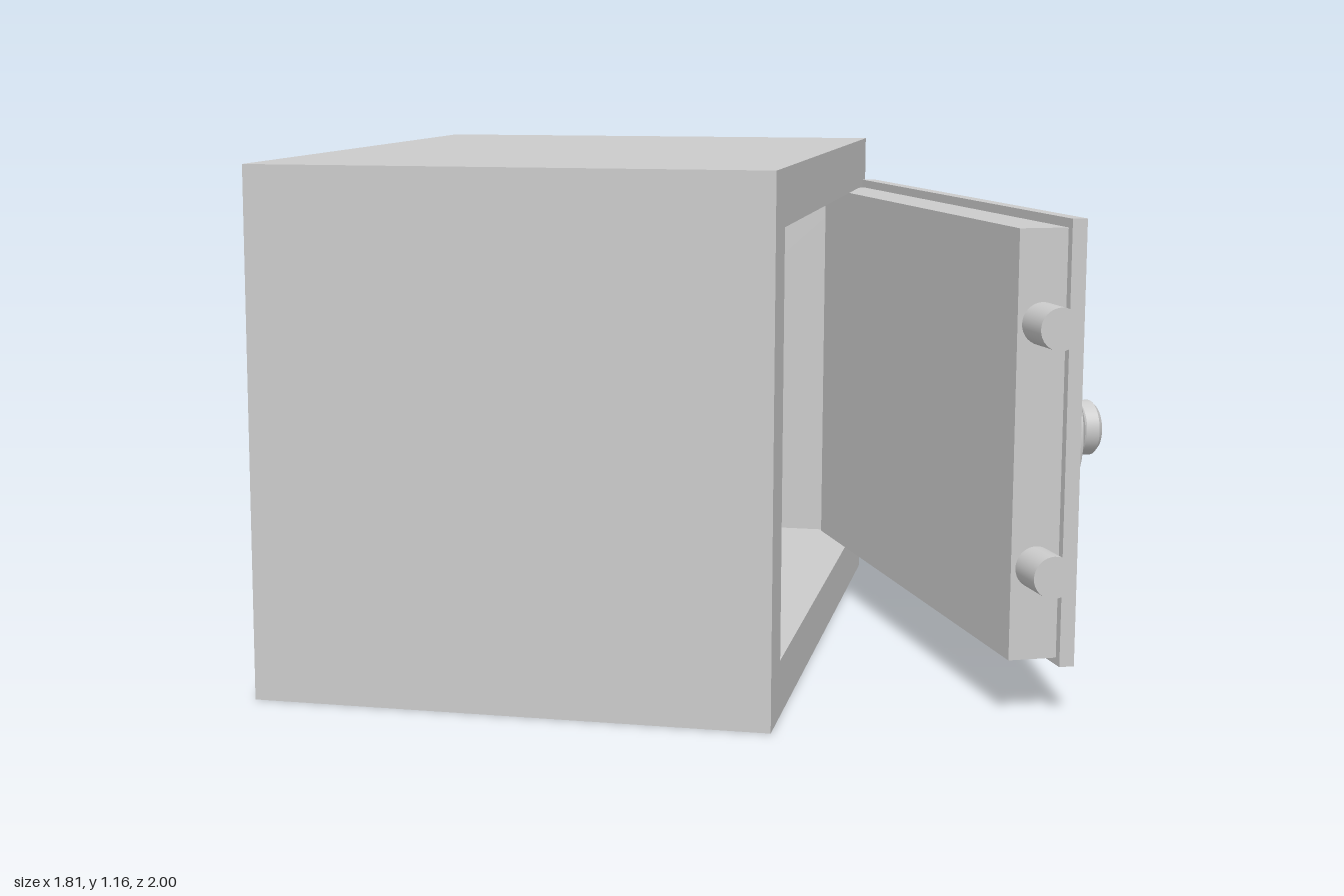
import * as THREE from 'three';

const material = new THREE.MeshStandardMaterial({ color: 0xcccccc });

function add(parent, name, geometry, x = 0, y = 0, z = 0) {
  const mesh = new THREE.Mesh(geometry, material);
  mesh.name = name;
  mesh.position.set(x, y, z);
  parent.add(mesh);
  return mesh;
}

// Cabinet: four walls as one extruded frame, closed by a back panel
function createCabinet() {
  const W = 1.566, H = 1.165, D = 1.136, wall = 0.123;
  const cabinet = new THREE.Group();
  cabinet.name = 'cabinet';

  const rect = (Type, w, h) => new Type([
    new THREE.Vector2(-w / 2, -h / 2), new THREE.Vector2(w / 2, -h / 2),
    new THREE.Vector2(w / 2, h / 2), new THREE.Vector2(-w / 2, h / 2),
  ]);
  const outline = rect(THREE.Shape, W, H);
  outline.holes.push(rect(THREE.Path, W - 2 * wall, H - 2 * wall));
  const frame = new THREE.ExtrudeGeometry(outline, { depth: D - wall, bevelEnabled: false });
  add(cabinet, 'walls', frame, 0, H / 2, -D / 2 + wall);
  add(cabinet, 'backPanel', new THREE.BoxGeometry(W, H, wall), 0, H / 2, -D / 2 + wall / 2);

  cabinet.position.set(-0.065, 0, -0.05);
  cabinet.rotation.y = THREE.MathUtils.degToRad(65);
  return cabinet;
}

// Door: swung open so that its outer face looks along +x
function createDoor() {
  const door = new THREE.Group();
  door.name = 'door';
  add(door, 'doorPlug', new THREE.BoxGeometry(0.107, 0.915, 1.32), 0.6935, 0.583, 0.24);
  add(door, 'doorPlate', new THREE.BoxGeometry(0.033, 0.95, 1.36), 0.7635, 0.585, 0.24);

  // Locking bolts on the free edge
  for (const y of [0.325, 0.842]) {
    const bolt = new THREE.CylinderGeometry(0.045, 0.045, 0.14, 32).rotateX(Math.PI / 2);
    add(door, 'lockingBolt', bolt, 0.695, y, 0.93);
  }

  // Dial: separate turned pieces keep the edges between them crisp
  const dial = new THREE.Group();
  dial.name = 'dial';
  dial.position.set(0.78, 0.585, 0.705);
  dial.rotation.z = -Math.PI / 2;
  door.add(dial);
  const turned = (name, r0, r1, y0, y1) =>
    add(dial, name, new THREE.CylinderGeometry(r1, r0, y1 - y0, 40), 0, (y0 + y1) / 2, 0);
  turned('dialRim', 0.148, 0.148, 0, 0.036);
  turned('dialCone', 0.148, 0.062, 0.036, 0.078);
  turned('knobBase', 0.05, 0.06, 0.075, 0.083);
  turned('knobGrip', 0.06, 0.06, 0.083, 0.112);
  turned('knobCap', 0.06, 0.05, 0.112, 0.122);
  return door;
}

export function createModel() {
  const safe = new THREE.Group();
  safe.name = 'safe';
  safe.add(createCabinet(), createDoor());
  return safe;
}
